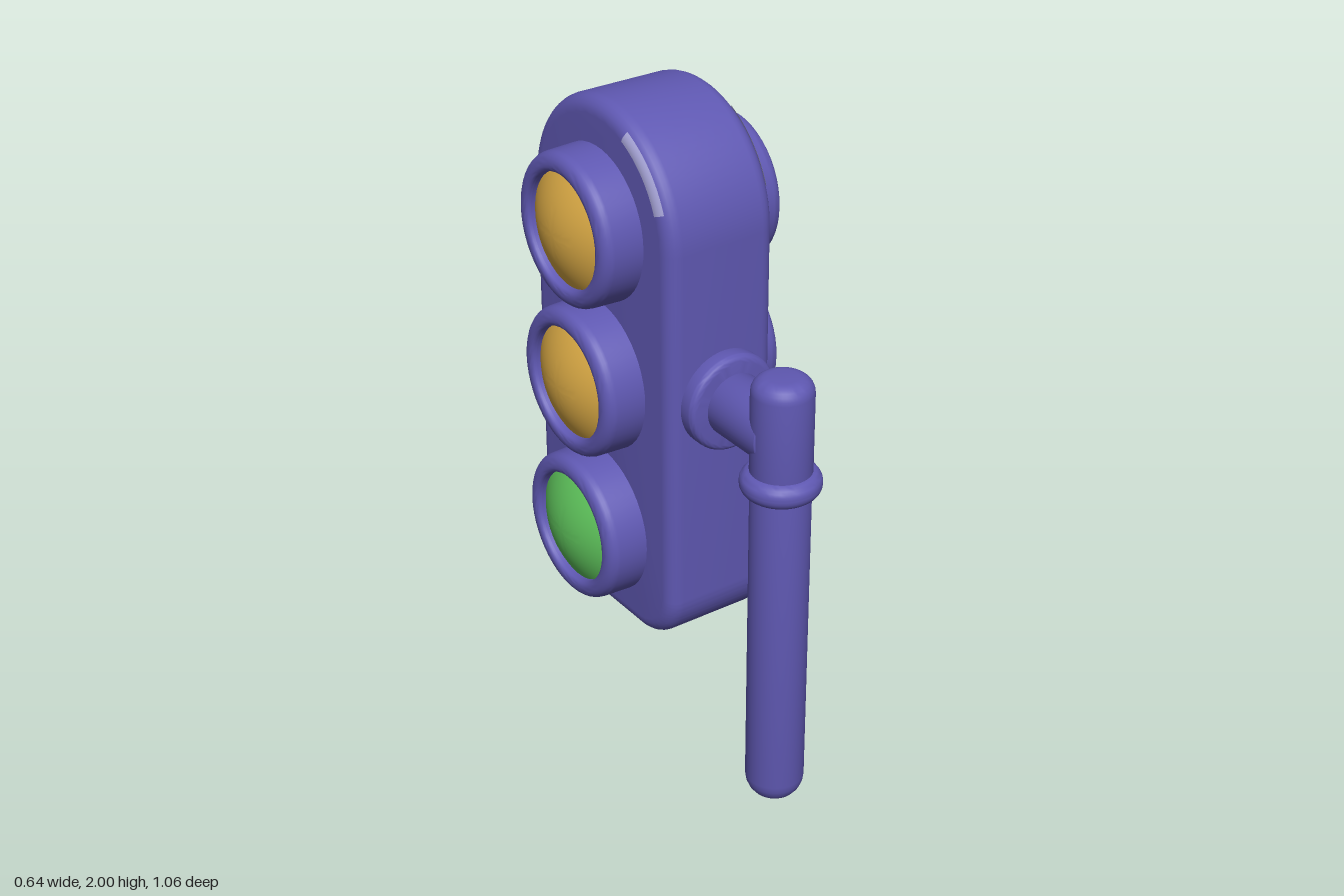
import * as THREE from 'three';
import { toCreasedNormals } from 'three/addons/utils/BufferGeometryUtils.js';

const mat = (name, color, side = THREE.FrontSide) => {
  const m = new THREE.MeshStandardMaterial({ color, side });
  m.name = name;
  return m;
};

const CZ = -0.187; // centre line of the housing
const POLE_X = 0.005, POLE_Z = 0.415;

// Smooth solid of revolution from [radius, height] pairs
function lathe(points, creaseAngle = 0.6, segments = 48) {
  const g = new THREE.LatheGeometry(points.map(([r, h]) => new THREE.Vector2(r, h)), segments);
  return toCreasedNormals(g, creaseAngle);
}

// Points on a quarter arc, angles in degrees
function arc(cx, cy, r, from, to, n = 6) {
  return Array.from({ length: n + 1 }, (_, i) => {
    const t = THREE.MathUtils.degToRad(from + (to - from) * i / n);
    return [Math.max(0, cx + r * Math.cos(t)), cy + r * Math.sin(t)];
  });
}

// Closed cylinder with rounded rims
function roundedCylinder(radius, h0, h1, r0, r1) {
  return lathe([[0, h0], ...arc(radius - r0, h0 + r0, r0, -90, 0), ...arc(radius - r1, h1 - r1, r1, 0, 90), [0, h1]]);
}

const dome = r => 0.321 - 1.9 * r * r; // lens height at a radius

export function createModel() {
  const model = new THREE.Group();
  model.name = 'trafficLight';
  const purple = mat('purple', 0x5f58b2);
  const red = mat('red', 0xe0544a);
  const yellow = mat('yellow', 0xd9a945);
  const green = mat('green', 0x5fc45c);
  const shine = mat('paleLavender', 0xa7a5d8, THREE.DoubleSide);
  const brown = mat('brown', 0xb55a2c, THREE.DoubleSide);

  const add = (name, geometry, material, parent = model) => {
    const mesh = new THREE.Mesh(geometry, material);
    mesh.name = name;
    parent.add(mesh);
    return mesh;
  };

  // Housing: round top, softly rounded lower corners, bevelled rims
  const b = 0.045, w = 0.34 - b, bottom = 0.415 + b, top = 1.66, c = 0.12;
  const s = new THREE.Shape();
  s.moveTo(-w + c, bottom);
  s.lineTo(w - c, bottom);
  s.absarc(w - c, bottom + c, c, -Math.PI / 2, 0);
  s.lineTo(w, top);
  s.absarc(0, top, w, 0, Math.PI);
  s.lineTo(-w, bottom + c);
  s.absarc(-w + c, bottom + c, c, Math.PI, Math.PI * 1.5);
  const depth = 0.35 - 2 * b;
  const body = new THREE.ExtrudeGeometry(s, {
    depth, bevelEnabled: true, bevelThickness: b, bevelSize: b, bevelSegments: 6, curveSegments: 20,
  });
  body.translate(0, 0, -depth / 2).rotateY(Math.PI / 2);
  add('housing', toCreasedNormals(body, 0.6), purple).position.z = CZ;

  // Lamps on both sides: thick ring with a domed lens inside
  const ringGeo = lathe([
    [0.225, 0.15], ...arc(0.187, 0.262, 0.034, 0, 90),
    ...arc(0.18, 0.282, 0.014, 90, 180, 3), [0.166, 0.24],
  ]);
  const lensGeo = lathe(Array.from({ length: 11 }, (_, i) => {
    const r = 0.17 * (1 - i / 10);
    return [r, dome(r)];
  }));
  const heights = [1.647, 1.183, 0.71];
  for (const side of [1, -1]) {
    const colours = side > 0 ? [red, yellow, green] : [yellow, yellow, green];
    heights.forEach((y, i) => {
      const lamp = new THREE.Group();
      lamp.name = (side > 0 ? 'left' : 'right') + ['Top', 'Middle', 'Bottom'][i] + 'Lamp';
      lamp.position.set(0, y, CZ - 0.004);
      lamp.rotation.z = -side * Math.PI / 2;
      add('lampRing', ringGeo, purple, lamp);
      add('lens', lensGeo, colours[i], lamp);
      model.add(lamp);
    });

    // Pale glint along the upper front rim
    const start = THREE.MathUtils.degToRad(side > 0 ? -65 : 21);
    const glint = new THREE.LatheGeometry(
      arc(w, 0.175 - b, b + 0.002, 50, 92).map(p => new THREE.Vector2(...p)),
      20, start, THREE.MathUtils.degToRad(44));
    const glintMesh = add('rimGlint', glint, shine);
    glintMesh.position.set(0, top, CZ);
    glintMesh.rotation.z = -side * Math.PI / 2;
  }

  // Small oval spot lying on the red lens
  const spot = new THREE.CircleGeometry(1, 24);
  spot.scale(0.058, 0.035, 1).rotateZ(Math.PI / 4).translate(-0.08, 0.064, 0);
  const p = spot.attributes.position;
  for (let i = 0; i < p.count; i++) p.setZ(i, dome(Math.hypot(p.getX(i), p.getY(i))) + 0.003);
  spot.rotateY(Math.PI / 2);
  spot.computeVertexNormals();
  add('lensSpot', spot, brown).position.set(0, heights[0], CZ - 0.004);

  // Pole, collar and upper joint
  const pole = new THREE.Group();
  pole.name = 'pole';
  pole.position.set(POLE_X, 0, POLE_Z);
  model.add(pole);
  add('poleShaft', roundedCylinder(0.085, 0.005, 1.06, 0.075, 0.01), purple, pole);
  add('poleCollar', roundedCylinder(0.114, 1.026, 1.1, 0.035, 0.035), purple, pole);
  add('poleJoint', roundedCylinder(0.087, 1.06, 1.382, 0.01, 0.045), purple, pole);

  // Arm and mounting flange joining the pole to the housing
  const arm = new THREE.Group();
  arm.name = 'mountingArm';
  arm.position.set(POLE_X, 1.203, 0);
  arm.rotation.x = Math.PI / 2;
  model.add(arm);
  add('armTube', roundedCylinder(0.092, 0.14, POLE_Z, 0.005, 0.005), purple, arm);
  add('armFlange', roundedCylinder(0.144, 0.12, 0.205, 0.005, 0.02), purple, arm);

  return model;
}
